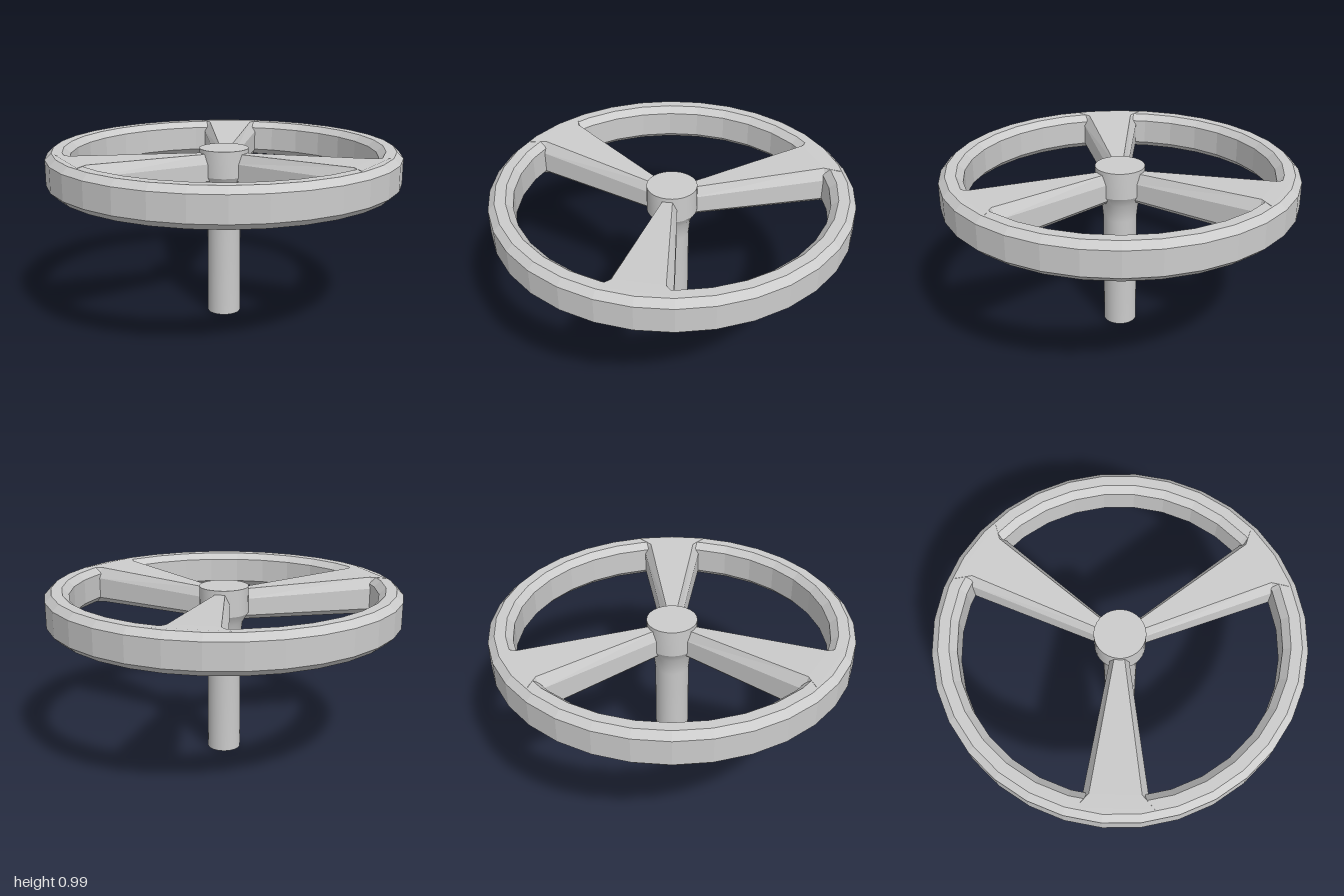
import * as THREE from 'three';
import { toCreasedNormals } from 'three/addons/utils/BufferGeometryUtils.js';

const smooth = new THREE.MeshStandardMaterial({ color: 0xcccccc });
const faceted = new THREE.MeshStandardMaterial({ color: 0xcccccc, flatShading: true });

function lathe(name, points, segments, material) {
  const profile = points.map(([r, y]) => new THREE.Vector2(r, y));
  let geometry = new THREE.LatheGeometry(profile, segments);
  if (material === smooth) geometry = toCreasedNormals(geometry, 0.5);
  const mesh = new THREE.Mesh(geometry, material);
  mesh.name = name;
  return mesh;
}

// Chamfered spoke lofted outward along +x from the hub into the rim
function spokeGeometry() {
  // r, half width of flat, half width of side, top, side top, side bottom, bottom
  const stations = [
    [0.08, 0.02, 0.045, 0.953, 0.9, 0.805, 0.78],
    [0.86, 0.132, 0.168, 0.985, 0.925, 0.805, 0.771],
    [0.93, 0.195, 0.2, 0.987, 0.98, 0.775, 0.77],
  ];
  const positions = [];
  const index = [];
  for (const [r, t, h, top, up, low, bottom] of stations) {
    const ring = [[-t, top], [t, top], [h, up], [h, low], [t, bottom], [-t, bottom], [-h, low], [-h, up]];
    for (const [z, y] of ring) positions.push(r, y, z);
  }
  for (let s = 0; s < stations.length - 1; s++) {
    for (let i = 0; i < 8; i++) {
      const a = s * 8 + i;
      const b = s * 8 + (i + 1) % 8;
      index.push(a, b, a + 8, b, b + 8, a + 8);
    }
  }
  const geometry = new THREE.BufferGeometry();
  geometry.setAttribute('position', new THREE.Float32BufferAttribute(positions, 3));
  geometry.setIndex(index);
  geometry.computeVertexNormals();
  return geometry;
}

export function createModel() {
  const model = new THREE.Group();
  model.name = 'handwheel';

  // Rim with chamfered edges
  model.add(lathe('rim', [
    [0.963, 0.772], [1, 0.807], [1, 0.95], [0.963, 0.985],
    [0.904, 0.985], [0.866, 0.95], [0.866, 0.807], [0.904, 0.772], [0.963, 0.772],
  ], 32, faceted));

  // Shaft flaring into the hub
  model.add(lathe('hubAndShaft', [
    [0, 0], [0.095, 0], [0.095, 0.67], [0.106, 0.77], [0.14, 0.825], [0.14, 0.978], [0, 0.978],
  ], 32, smooth));

  // Three spokes
  const spoke = spokeGeometry();
  for (let i = 0; i < 3; i++) {
    const mesh = new THREE.Mesh(spoke, faceted);
    mesh.name = `spoke${i + 1}`;
    mesh.rotation.y = (i * Math.PI * 2) / 3;
    model.add(mesh);
  }
  return model;
}
